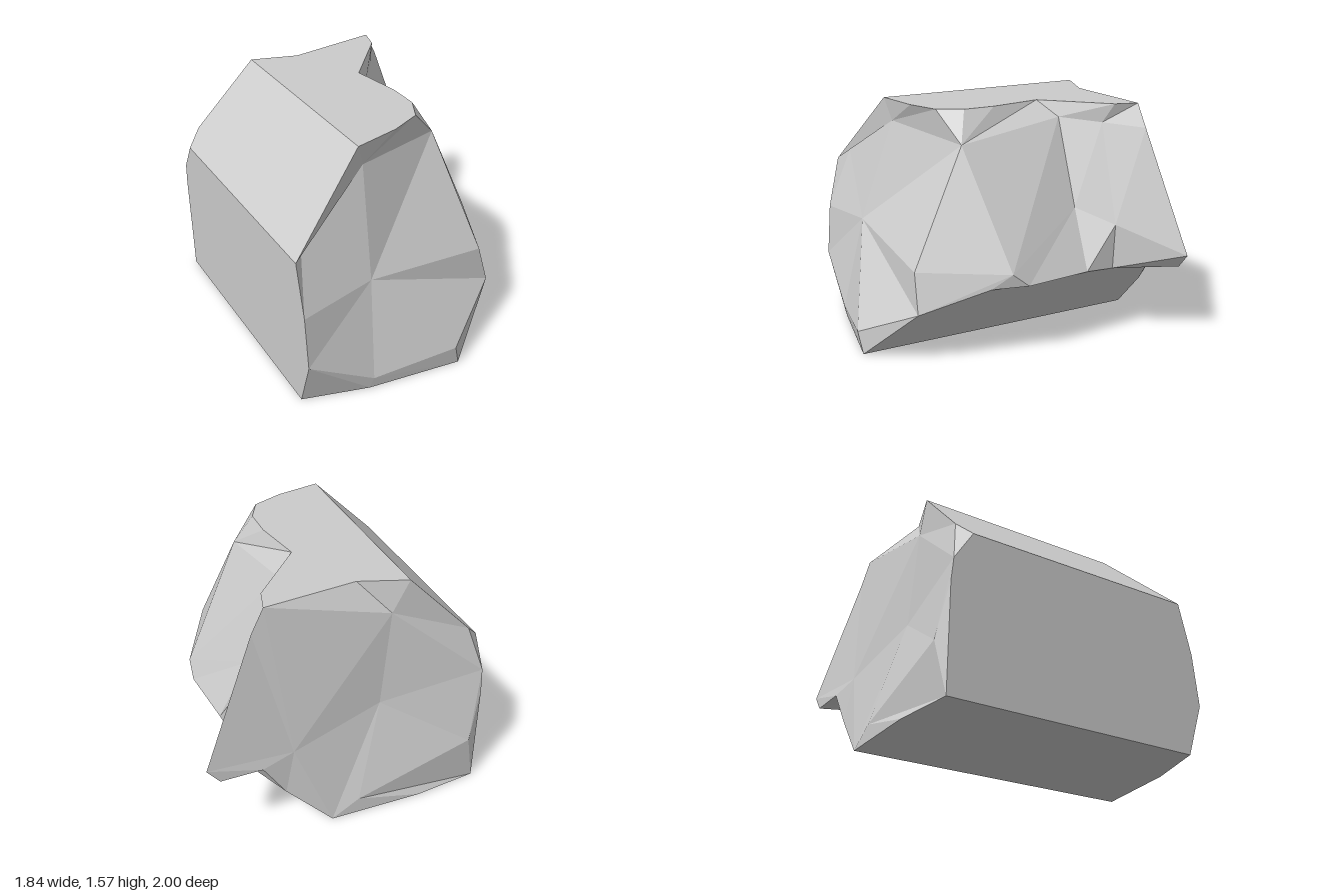
import * as THREE from 'three';

// A lengthwise line on a flat cut: same x and y from front to back,
// with optional points where it runs on into the front and back faces.
function straight(x, y, zFront, zBack, inFront, inBack) {
  const line = [0, 0.2, 0.4, 0.62, 0.8, 1].map((t) => [x, y, zFront + (zBack - zFront) * t]);
  return [inFront || line[0], ...line, inBack || line[5]];
}

// Lengthwise lines over the rough right side, from the low slant up to the top
const lowSlant = [
  [0.5, 0.38, 0.74], [0.5, 0.38, 0.74], [0.65, 0.53, 0.31], [0.65, 0.53, 0.07],
  [0.65, 0.53, -0.2], [0.63, 0.51, -0.59], [0.65, 0.53, -0.87], [0.42, 0.3, -0.96]];
const lowLedge = [
  [0.5, 0.38, 0.74], [0.5, 0.38, 0.74], [0.65, 0.53, 0.31], [0.7, 0.53, 0.07],
  [0.655, 0.53, -0.38], [0.63, 0.51, -0.59], [0.84, 0.53, -0.97], [0.57, 0.53, -0.965]];
const middle = [
  [0.43, 0.64, 0.73], [0.43, 0.64, 0.73], [0.69, 0.62, 0.18], [0.69, 0.62, 0.18],
  [0.46, 0.91, -0.39], [0.63, 0.81, -0.6], [0.92, 0.63, -0.97], [0.92, 0.63, -0.97]];
const shoulder = [
  [0.29, 1.37, 0.34], [0.29, 1.37, 0.34], [0.29, 1.37, 0.34], [0.29, 1.37, 0.34],
  [0.24, 1.47, -0.38], [0.41, 1.445, -0.61], [0.58, 1.42, -0.835], [0.58, 1.42, -0.835]];
const topEdge = [
  [-0.35, 1.42, 0.555], [0.1, 1.57, 0.43], [0.18, 1.57, 0.27], [0.18, 1.57, 0.06],
  [0.12, 1.57, -0.28], [0.46, 1.57, -0.67], [0.5, 1.57, -0.82], [0.5, 1.57, -0.82]];

// Points where the facets of the end faces meet
const frontHub = [-0.42, 0.74, 0.77];
const backRight = [0.36, 0.58, -0.935];
const backTop = [-0.3, 1.36, -0.835];
const backLeft = [-0.24, 0.735, -0.86];

// All lines, counter-clockwise as seen from the front, each with its back hub
const stations = [
  [straight(0.12, 0, 0.98, -1, [0.08, 0.15, 1]), backRight],
  [lowSlant, backRight],
  [lowLedge, backRight],
  [middle, backRight],
  [shoulder, backRight],
  [topEdge, backTop],
  [straight(-0.1, 1.57, 0.52, -0.745, [-0.35, 1.42, 0.555]), backTop],
  [straight(-0.4, 1.57, 0.59, -0.845, [-0.35, 1.42, 0.555]), backTop],
  [straight(-0.92, 1.05, 0.77, -0.8, [-0.85, 1.12, 0.7], [-0.82, 1.15, -0.865]), backTop],
  [straight(-0.92, 0.7, 0.85, -0.94, null, [-0.92, 0.85, -0.925]), backLeft],
  [straight(-0.92, 0, 0.76, -0.95, [-0.92, 0.345, 0.88], [-0.84, 0.35, -0.99]), backLeft],
  [straight(-0.5, 0, 0.89, -1, [-0.48, 0.085, 0.91], [-0.06, 0.11, -1]), backLeft],
];

export function createModel() {
  const positions = [];
  const same = (p, q) => p.every((v, k) => Math.abs(v - q[k]) < 1e-6);
  const triangle = (a, b, c) => {
    if (!same(a, b) && !same(b, c) && !same(a, c)) positions.push(...a, ...b, ...c);
  };

  stations.forEach(([line, hub], i) => {
    const [next, nextHub] = stations[(i + 1) % stations.length];
    const last = line.length - 1;
    triangle(frontHub, line[0], next[0]);
    // strip between neighbouring lines
    for (let j = 0; j < last; j++) {
      triangle(line[j], line[j + 1], next[j + 1]);
      triangle(line[j], next[j + 1], next[j]);
    }
    // back facets
    triangle(hub, nextHub, next[last]);
    triangle(hub, next[last], line[last]);
  });
  triangle(backRight, backLeft, backTop);

  const geometry = new THREE.BufferGeometry();
  geometry.setAttribute('position', new THREE.Float32BufferAttribute(positions, 3));
  geometry.computeVertexNormals();

  const rock = new THREE.Mesh(
    geometry,
    new THREE.MeshStandardMaterial({ color: 0xcccccc, flatShading: true })
  );
  rock.name = 'rock';

  const group = new THREE.Group();
  group.name = 'cutRock';
  group.add(rock);
  return group;
}
